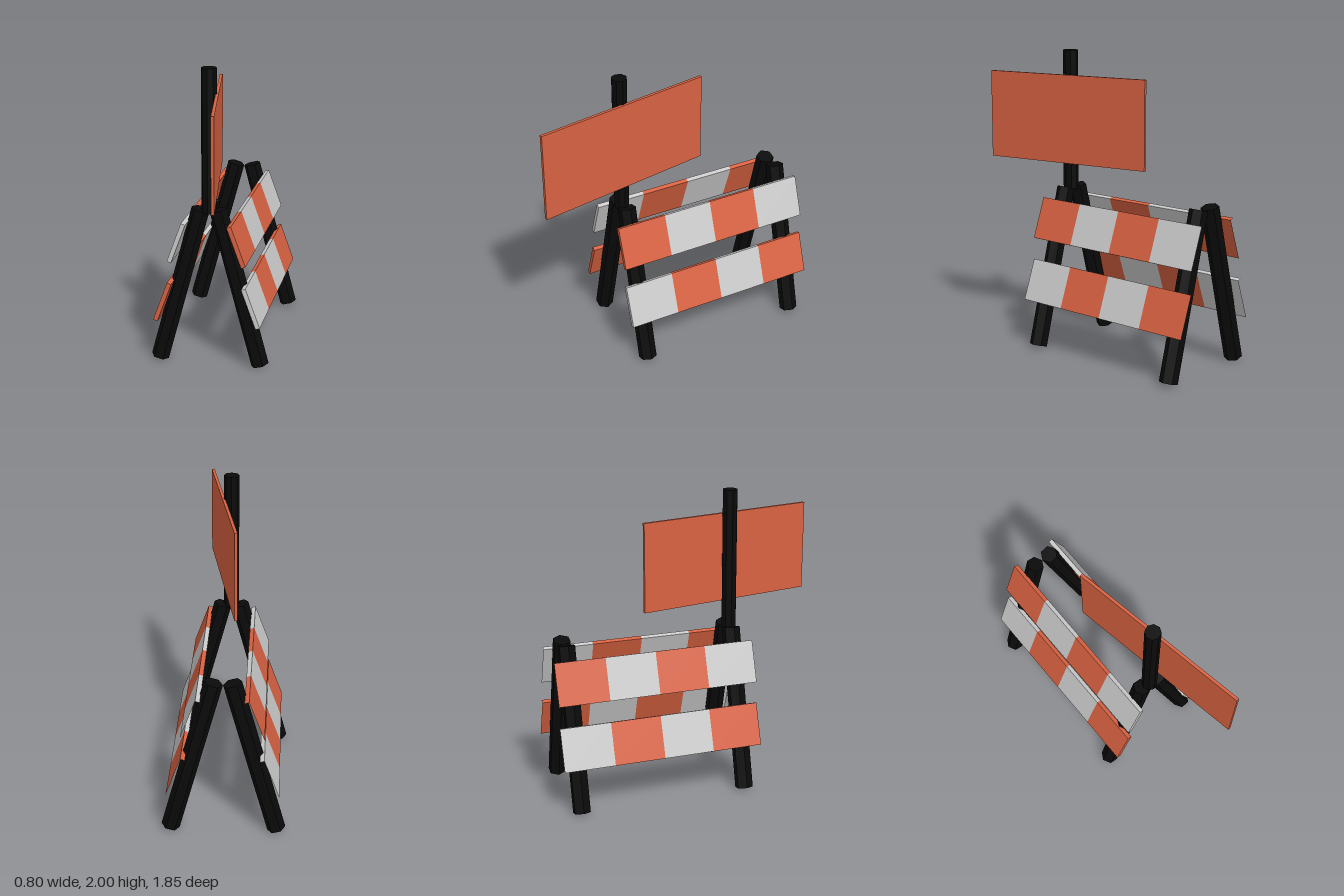
import * as THREE from 'three';

const paint = (color) => new THREE.MeshStandardMaterial({ color, flatShading: true });
const rad = THREE.MathUtils.degToRad;

export function createModel() {
  const model = new THREE.Group();
  model.name = 'roadBarricade';
  const black = paint(0x0a0a0a), orange = paint(0xd96242), grey = paint(0xcccccc);

  const add = (name, geometry, material, x, y, z) => {
    const mesh = new THREE.Mesh(geometry, material);
    mesh.name = name;
    mesh.position.set(x, y, z);
    model.add(mesh);
    return mesh;
  };

  // Board painted in four alternating stripes along its length
  const stripes = 4, boardLength = 1.355;
  const stripedBoard = () => {
    const g = new THREE.BoxGeometry(0.03, 0.283, boardLength, 1, 1, stripes);
    const pos = g.attributes.position, index = g.index;
    g.clearGroups();
    for (let i = 0; i < index.count; i += 6) {
      // Middle of each quad decides which stripe it belongs to
      const z = (pos.getZ(index.getX(i)) + pos.getZ(index.getX(i + 1)) + pos.getZ(index.getX(i + 2)) + pos.getZ(index.getX(i + 4))) / 4;
      const stripe = Math.min(stripes - 1, Math.floor((z / boardLength + 0.5) * stripes));
      g.addGroup(i, 6, stripe % 2);
    }
    return g;
  };

  for (const side of [1, -1]) {
    const sideName = side > 0 ? 'left' : 'right';

    // Hexagonal legs leaning together at the top
    for (const [end, z] of [['Front', 0.32], ['Back', -0.816]]) {
      const leg = new THREE.CylinderGeometry(0.06, 0.06, 1.094, 6).rotateY(Math.PI / 6);
      add(sideName + end + 'Leg', leg, black, side * 0.2, 0.544, z).rotation.z = side * rad(15);
    }

    // Two striped boards; the stripe order swaps between rows and sides
    [['Upper', 0.198, 0.8625], ['Lower', 0.295, 0.448]].forEach(([row, x, y], i) => {
      const greyFirst = (i === 0) === (side > 0);
      const materials = greyFirst ? [grey, orange] : [orange, grey];
      add(sideName + row + 'Board', stripedBoard(), materials, side * x, y, -0.246).rotation.z = side * rad(20);
    });
  }

  // Post above the front legs, carrying a slightly turned sign
  add('signPost', new THREE.CylinderGeometry(0.051, 0.051, 0.945, 8), black, 0, 1.5275, 0.326);
  add('signPanel', new THREE.BoxGeometry(0.02, 0.6, 1.23), orange, 0.0515, 1.535, 0.32).rotation.y = rad(10);

  return model;
}
